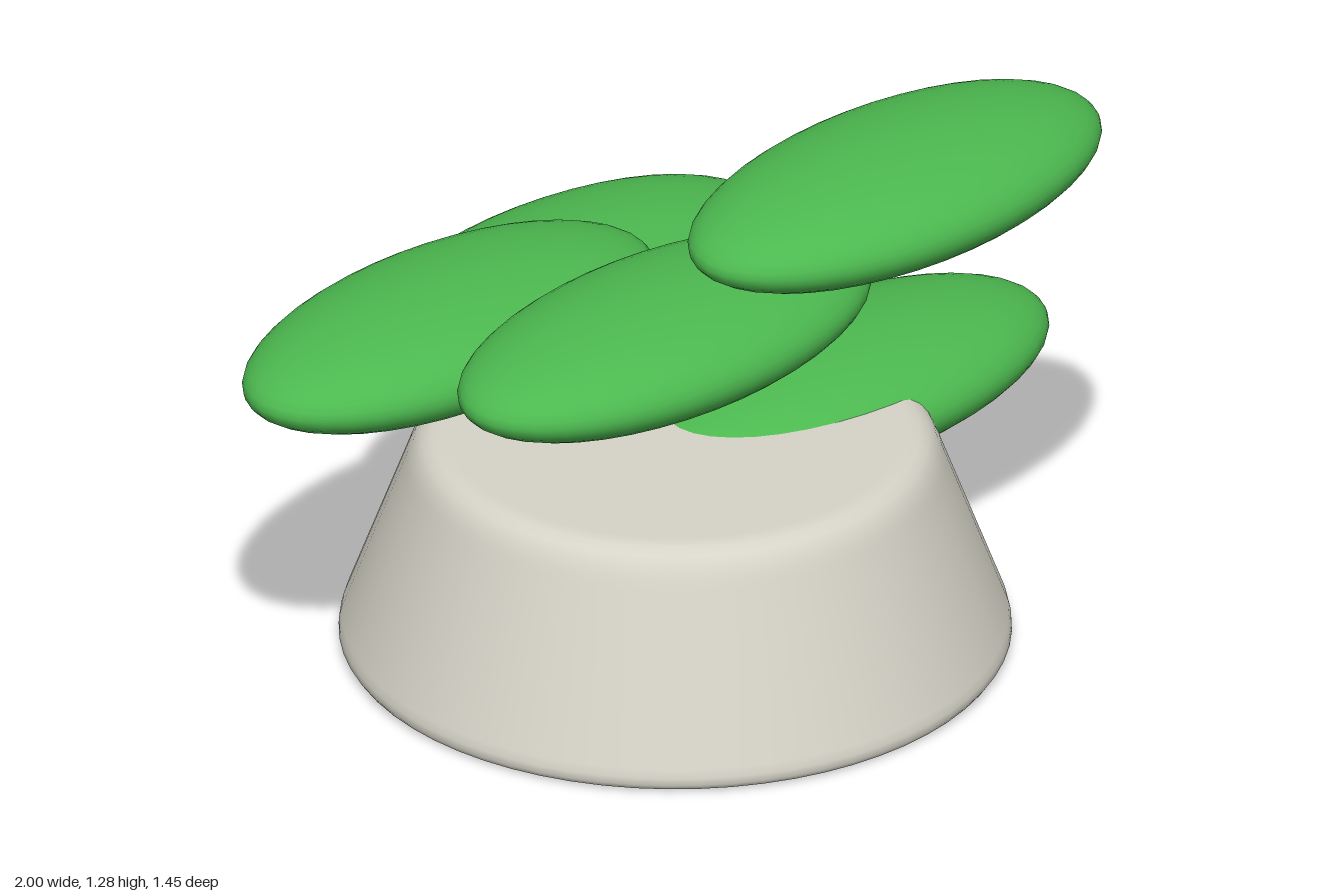
import * as THREE from 'three';

export function createModel() {
  const model = new THREE.Group();
  model.name = 'pottedPlant';
  const stone = new THREE.MeshStandardMaterial({ color: 0xd6d4c8 });
  stone.name = 'paleStone';
  const green = new THREE.MeshStandardMaterial({ color: 0x4cb84f });
  green.name = 'leafGreen';

  // Tapered round pot, softened at its rims
  const profile = [
    [0, 0], [0.675, 0], [0.685, 0.001], [0.702, 0.008], [0.71, 0.02], [0.709, 0.035], [0.704, 0.055],
    [0.572, 0.41], [0.564, 0.432], [0.552, 0.458], [0.536, 0.476], [0.516, 0.487], [0.495, 0.49],
    [0.48, 0.49], [0, 0.49],
  ].map(([r, y]) => new THREE.Vector2(r, y));
  const pot = new THREE.Mesh(new THREE.LatheGeometry(profile, 64), stone);
  pot.name = 'pot';
  pot.position.set(-0.035, 0, 0.015);
  model.add(pot);

  // Flattened leaf pads rising in a spiral
  const padShape = new THREE.SphereGeometry(1, 40, 24);
  padShape.scale(0.545, 0.12, 0.272);
  const pads = [
    [0.45, 0.43, 0.015],
    [0.095, 0.615, -0.455],
    [-0.455, 0.795, -0.235],
    [-0.39, 0.98, 0.355],
    [0.19, 1.16, 0.45],
  ];
  pads.forEach((p, i) => {
    const pad = new THREE.Mesh(padShape, green);
    pad.name = `leafPad${i + 1}`;
    pad.position.set(...p);
    model.add(pad);
  });
  return model;
}
